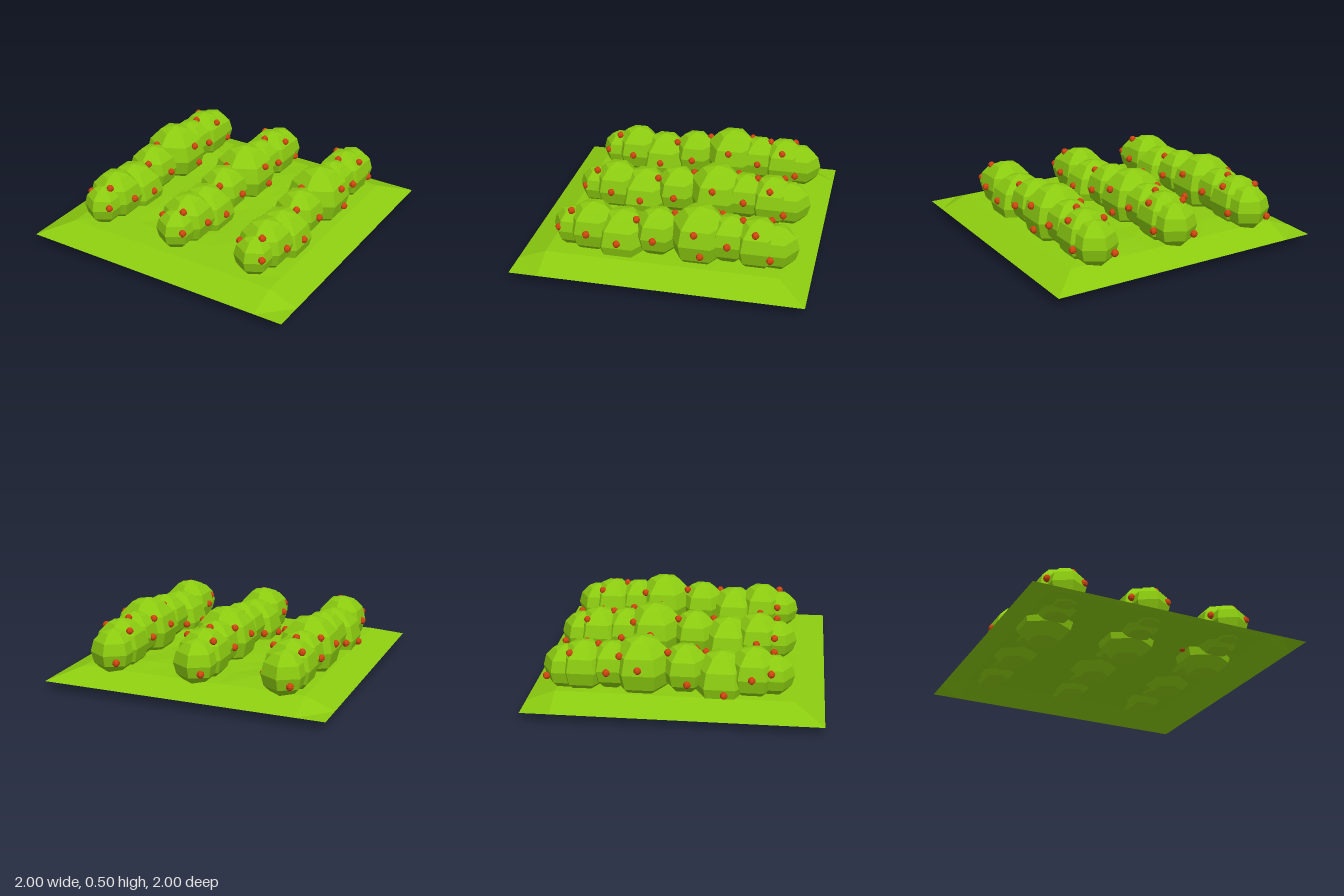
import * as THREE from 'three';

const green = new THREE.MeshStandardMaterial({ color: 0x8ccc10, flatShading: true });
const groundGreen = new THREE.MeshStandardMaterial({ color: 0x8ccc10, flatShading: true, side: THREE.DoubleSide });
const red = new THREE.MeshStandardMaterial({ color: 0xd0450f, flatShading: true });

// Leafy clumps along one row: [y, z, radius]
const CLUMPS = [
  [0.265, 0.655, 0.14], [0.276, 0.515, 0.184], [0.215, 0.305, 0.21], [0.287, 0.06, 0.173],
  [0.29, -0.23, 0.22], [0.293, -0.435, 0.167], [0.277, -0.625, 0.184], [0.265, -0.748, 0.158],
];

// Berries along one row: [x, y, z]
const BERRIES = [
  [0.10, 0.29, 0.73], [0.054, 0.40, 0.65], [0.166, 0.29, 0.52], [0.177, 0.25, 0.305],
  [0.054, 0.385, 0.195], [0.16, 0.29, 0.06], [0.18, 0.385, -0.225], [0.187, 0.23, -0.268],
  [0.166, 0.315, -0.445], [0, 0.435, -0.522], [0.12, 0.40, -0.625], [0.15, 0.24, -0.73],
  [-0.043, 0.41, -0.05], [-0.123, 0.32, 0.64], [-0.16, 0.285, 0.515], [-0.185, 0.18, 0.335],
  [-0.164, 0.235, 0.09], [-0.185, 0.33, -0.235], [-0.118, 0.40, -0.365], [-0.15, 0.29, -0.45],
  [-0.10, 0.40, -0.70], [-0.08, 0.22, -0.87],
];

// Six-sided ball with corners pointing along z
const ball = new THREE.SphereGeometry(1, 6, 6).rotateY(Math.PI / 2);

function addBall(parent, name, material, x, y, z, r) {
  const mesh = new THREE.Mesh(ball, material);
  mesh.name = name;
  mesh.position.set(x, y, z);
  mesh.scale.setScalar(r);
  parent.add(mesh);
}

// Thin sheet of soil: low rim, gently uneven plateau
function makeGround() {
  const geo = new THREE.PlaneGeometry(2, 2, 10, 10).rotateX(-Math.PI / 2);
  const p = geo.attributes.position;
  for (let i = 0; i < p.count; i++) {
    const x = p.getX(i), z = p.getZ(i);
    const edge = Math.max(Math.abs(x), Math.abs(z));
    const bump = edge < 0.75 ? 0.012 * (1 + Math.sin(7 * x + 2) * Math.cos(6 * z + 1)) : 0;
    p.setY(i, edge > 0.95 ? 0.07 : 0.148 + bump);
  }
  geo.computeVertexNormals();
  const mesh = new THREE.Mesh(geo, groundGreen);
  mesh.name = 'ground';
  return mesh;
}

// One hedge row with its berries
function makeRow(x) {
  const row = new THREE.Group();
  row.name = 'bushRow';
  row.position.x = x;
  for (const [y, z, r] of CLUMPS) addBall(row, 'bushClump', green, 0, y, z, r);
  for (const [bx, y, z] of BERRIES) addBall(row, 'berry', red, bx, y, z, 0.026);
  return row;
}

export function createModel() {
  const model = new THREE.Group();
  model.name = 'berryField';
  model.add(makeGround());
  for (const x of [-0.64, -0.022, 0.597]) model.add(makeRow(x));
  return model;
}
